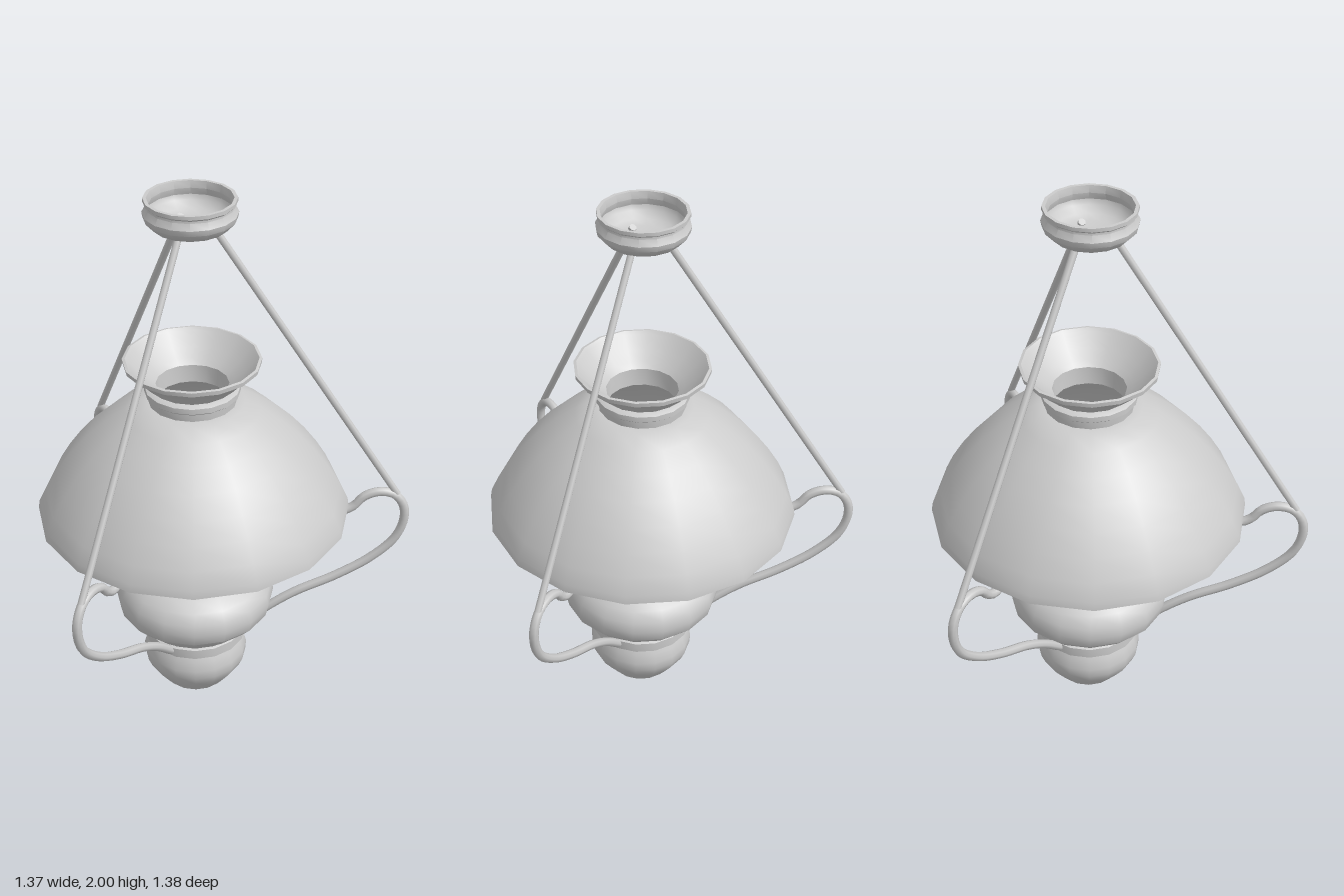
import * as THREE from 'three';
import { toCreasedNormals } from 'three/addons/utils/BufferGeometryUtils.js';

const SIDES = 16;
const grey = new THREE.MeshStandardMaterial({ color: 0xcccccc });
const greyThin = new THREE.MeshStandardMaterial({ color: 0xcccccc, side: THREE.DoubleSide });
const red = new THREE.MeshStandardMaterial({ color: 0xe01010, side: THREE.DoubleSide });

function add(parent, name, geometry, material = grey) {
  const mesh = new THREE.Mesh(geometry, material);
  mesh.name = name;
  parent.add(mesh);
  return mesh;
}

// Turned part from [radius, height] pairs, listed upwards on the outside
function turned(points, crease = 0.6) {
  const g = new THREE.LatheGeometry(points.map(([r, y]) => new THREE.Vector2(r, y)), SIDES);
  return toCreasedNormals(g, crease);
}

function curveTube(points, radius, segments) {
  const path = new THREE.CatmullRomCurve3(points.map(([r, y]) => new THREE.Vector3(r, y, 0)));
  return new THREE.TubeGeometry(path, segments, radius, 8);
}

// Straight round bar between two [radius, height] points
function bar(a, b, radius) {
  const p = new THREE.Vector3(a[0], a[1], 0), q = new THREE.Vector3(b[0], b[1], 0);
  const g = new THREE.CylinderGeometry(radius, radius, p.distanceTo(q), 8);
  g.applyQuaternion(new THREE.Quaternion().setFromUnitVectors(
    new THREE.Vector3(0, 1, 0), q.clone().sub(p).normalize()));
  const m = p.add(q).multiplyScalar(0.5);
  return g.translate(m.x, m.y, 0);
}

export function createModel() {
  const root = new THREE.Group();
  root.name = 'hangingOilLamp';
  const lamp = new THREE.Group();
  lamp.name = 'lamp';
  lamp.position.x = -0.115;
  root.add(lamp);

  // Ceiling cup, open at the top
  add(lamp, 'ceilingCup', turned([
    [0, 1.885], [0.1, 1.887], [0.13, 1.9], [0.158, 1.93], [0.162, 1.95], [0.15, 1.972],
    [0.15, 1.98], [0.158, 1.987], [0.158, 2], [0.146, 2], [0.14, 1.975], [0.148, 1.95],
    [0.142, 1.932], [0.12, 1.91], [0.09, 1.9], [0, 1.9],
  ]), greyThin);

  // Domed shade with a thin wall
  add(lamp, 'shade', turned([
    [0.57, 0.78], [0.565, 0.81], [0.537, 0.87], [0.495, 0.94], [0.445, 1.01], [0.385, 1.08],
    [0.315, 1.145], [0.245, 1.198], [0.188, 1.232], [0.155, 1.235], [0.155, 1.222],
    [0.185, 1.218], [0.238, 1.186], [0.307, 1.133], [0.375, 1.07], [0.433, 1.0],
    [0.483, 0.93], [0.525, 0.86], [0.552, 0.81], [0.556, 0.78], [0.57, 0.78],
  ]), greyThin);

  // Neck ring and flared smoke collar
  add(lamp, 'shadeNeck', turned([
    [0.125, 1.235], [0.158, 1.235], [0.16, 1.262], [0.17, 1.27], [0.17, 1.29], [0.15, 1.3],
    [0.13, 1.3], [0.125, 1.235],
  ]), greyThin);
  add(lamp, 'shadeFlare', turned([
    [0.15, 1.298], [0.16, 1.308], [0.195, 1.34], [0.225, 1.372], [0.243, 1.382], [0.245, 1.398],
    [0.235, 1.4], [0.225, 1.39], [0.185, 1.346], [0.15, 1.318], [0.13, 1.3],
  ]), greyThin);

  // Oil tank and its holder
  add(lamp, 'holder', turned([
    [0, 0], [0.118, 0], [0.15, 0.04], [0.18, 0.08], [0.195, 0.115], [0.196, 0.15],
    [0.186, 0.185], [0.178, 0.205], [0.192, 0.212], [0.192, 0.25], [0.178, 0.256], [0, 0.256],
  ]));
  add(lamp, 'oilTank', turned([
    [0.178, 0.25], [0.2, 0.272], [0.25, 0.315], [0.288, 0.355], [0.298, 0.4], [0.29, 0.44],
    [0.265, 0.478], [0.225, 0.508], [0.175, 0.528], [0.135, 0.538], [0, 0.538],
  ]));
  add(lamp, 'tankCollar', turned([
    [0.088, 0.535], [0.09, 0.555], [0.098, 0.56], [0.098, 0.578], [0.085, 0.585], [0, 0.585],
  ]));

  // Burner with ribbed crown
  add(lamp, 'burner', turned([
    [0, 0.583], [0.094, 0.583], [0.095, 0.597], [0.082, 0.602], [0.084, 0.675], [0.1, 0.68],
    [0.102, 0.695], [0.08, 0.697], [0, 0.697],
  ]));
  const crown = new THREE.Group();
  crown.name = 'burnerCrown';
  lamp.add(crown);
  const ribShape = new THREE.CapsuleGeometry(0.009, 0.082, 3, 8);
  for (let i = 0; i < SIDES; i++) {
    const a = (i + 0.5) / SIDES * Math.PI * 2;
    const rib = add(crown, 'crownRib', ribShape);
    rib.position.set(Math.cos(a) * 0.092, 0.642, -Math.sin(a) * 0.092);
    rib.rotation.set(0, a, -0.06);
  }

  // Wick knob
  add(lamp, 'knobStem', bar([0.08, 0.635], [0.152, 0.635], 0.005));
  add(lamp, 'knobWheel', bar([0.146, 0.635], [0.154, 0.635], 0.02));

  // Chimney
  add(lamp, 'chimney', turned([
    [0.078, 0.695], [0.088, 0.715], [0.096, 0.74], [0.097, 0.765], [0.088, 0.84],
    [0.076, 0.92], [0.065, 0.99], [0.06, 1.0],
  ]), red);

  // Three arms, each with a curled hook and a straight rod to the cup
  const armShape = curveTube([
    [0.5, 0.795], [0.515, 0.768], [0.555, 0.757], [0.59, 0.775], [0.625, 0.815], [0.68, 0.836],
    [0.735, 0.825], [0.771, 0.78], [0.778, 0.715], [0.748, 0.63], [0.66, 0.54], [0.53, 0.457],
    [0.385, 0.385], [0.28, 0.315], [0.185, 0.232],
  ], 0.017, 56);
  const rodShape = bar([0.066, 1.91], [0.748, 0.825], 0.013);
  const tipShape = new THREE.SphereGeometry(0.018, 10, 8);
  for (let i = 0; i < 3; i++) {
    const arm = new THREE.Group();
    arm.name = 'arm';
    arm.rotation.y = i * Math.PI * 2 / 3;
    lamp.add(arm);
    add(arm, 'curvedArm', armShape);
    add(arm, 'rod', rodShape);
    add(arm, 'hookTip', tipShape).position.set(0.5, 0.795, 0);
  }
  return root;
}
